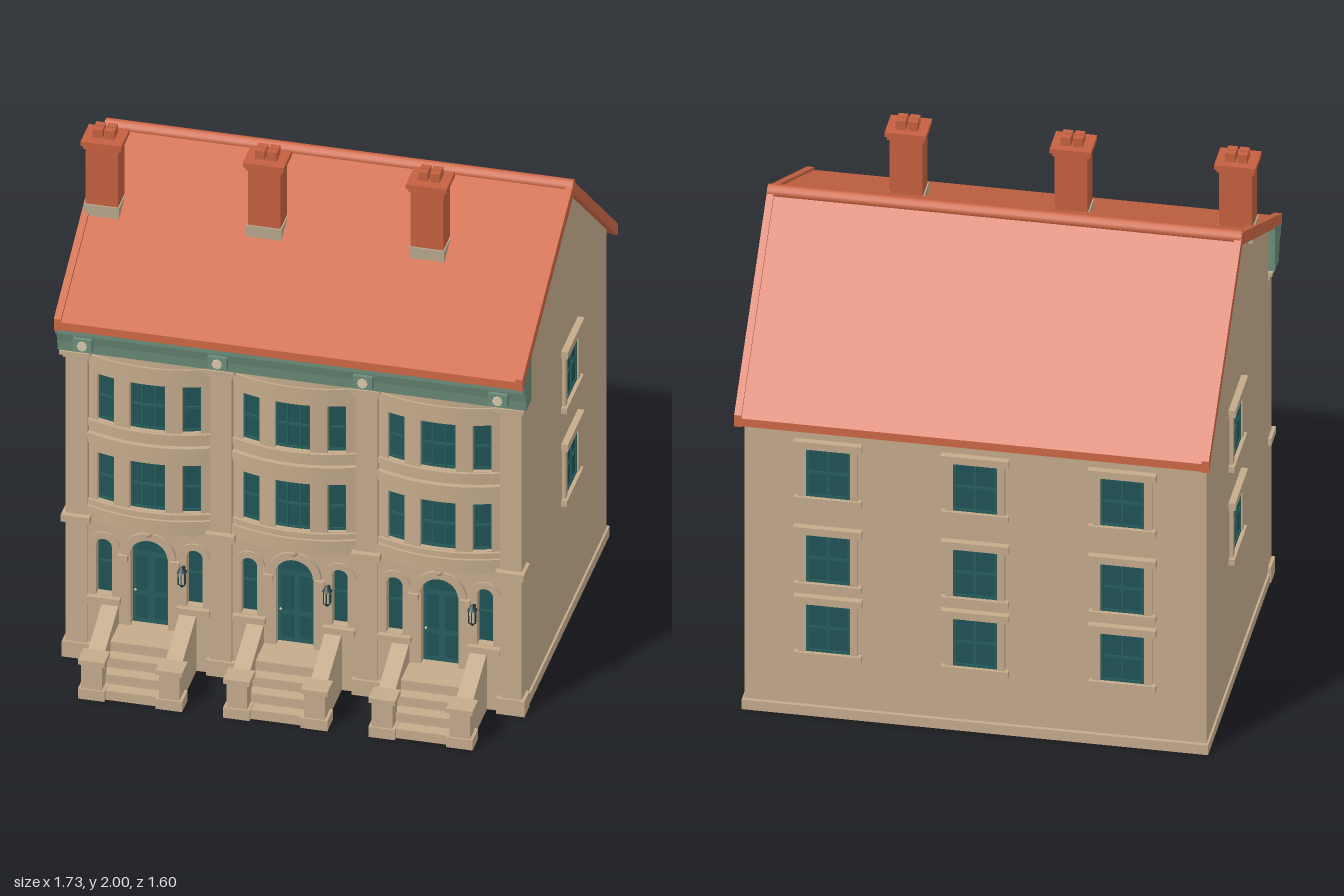
import * as THREE from 'three';

const mat = (name, color, side = THREE.FrontSide) => {
  const m = new THREE.MeshStandardMaterial({ color, side });
  m.name = name;
  return m;
};

export function createModel() {
  const stone = mat('sandstone', 0xc4ab8c);
  const roofRed = mat('roof terracotta', 0xcd6745);
  const brick = mat('chimney brick', 0xc4603f);
  const green = mat('cornice green', 0x6b8c79);
  const frame = mat('window frame teal', 0x265d5c);
  const glass = mat('glass teal', 0x1f5356);
  const grey = mat('chimney base stone', 0xb5a78c);
  const iron = mat('lamp iron', 0x26383a);
  const cream = mat('pale cream', 0xd8c8a8);

  const root = new THREE.Group();
  root.name = 'terraceHouse';

  const add = (parent, name, geo, material, x = 0, y = 0, z = 0) => {
    const m = new THREE.Mesh(geo, material);
    m.name = name;
    m.position.set(x, y, z);
    parent.add(m);
    return m;
  };
  // Box given by its min and max on each axis
  const box = (parent, name, material, x0, x1, y0, y1, z0, z1) =>
    add(parent, name, new THREE.BoxGeometry(x1 - x0, y1 - y0, z1 - z0), material,
      (x0 + x1) / 2, (y0 + y1) / 2, (z0 + z1) / 2);
  // Prism along x from a [z, y] profile
  const prism = (parent, name, material, pts, x0, x1) => {
    const s = new THREE.Shape(pts.map(([z, y]) => new THREE.Vector2(-z, y)));
    const g = new THREE.ExtrudeGeometry(s, { depth: x1 - x0, bevelEnabled: false });
    return add(parent, name, g.rotateY(Math.PI / 2), material, x0);
  };
  const extrude = (shape, depth) =>
    new THREE.ExtrudeGeometry(shape, { depth, bevelEnabled: false, curveSegments: 10 });

  // Main gabled body and plinth
  prism(root, 'houseBody', stone,
    [[0.47, 0], [0.47, 1.492], [-0.15, 1.805], [-0.72, 1.302], [-0.72, 0]], -0.84, 0.84);
  box(root, 'plinth', stone, -0.848, 0.848, 0, 0.04, -0.735, 0.5);

  // Roof slopes, raised verges and ridge roll
  const slopes = [[0.61, 1.45], [-0.8, 1.26]];
  for (const [z, y] of slopes) {
    prism(root, 'roofSlope', roofRed, [[-0.15, 1.83], [z, y], [z, y - 0.032], [-0.15, 1.798]], -0.845, 0.845);
    for (const s of [-1, 1])
      prism(root, 'roofVerge', roofRed,
        [[-0.15, 1.842], [z, y + 0.012], [z, y - 0.036], [-0.15, 1.79]], s * 0.85 - 0.013, s * 0.85 + 0.013);
  }
  add(root, 'ridgeRoll', new THREE.CylinderGeometry(0.024, 0.024, 1.724, 12).rotateZ(Math.PI / 2), roofRed, 0, 1.823, -0.15);

  // Eaves cornice with rosette blocks
  prism(root, 'cornice', green, [[0.475, 1.3], [0.555, 1.3], [0.56, 1.34], [0.572, 1.382], [0.59, 1.39],
    [0.59, 1.43], [0.475, 1.487]], -0.863, 0.863);
  for (const x of [-0.765, -0.268, 0.268, 0.765]) {
    box(root, 'corniceBlock', green, x - 0.035, x + 0.035, 1.32, 1.372, 0.55, 0.585);
    add(root, 'rosette', new THREE.CylinderGeometry(0.019, 0.019, 0.008, 8).rotateX(Math.PI / 2), cream, x, 1.346, 0.587);
  }

  // Pilasters with base, mid band and stepped capital
  for (const x of [-0.8, -0.268, 0.268, 0.8]) {
    const strip = (name, w, y0, y1, z) => box(root, name, stone, x - w, x + w, y0, y1, 0.46, z);
    strip('pilaster', 0.04, 0, 1.3, 0.528);
    strip('pilasterBase', 0.052, 0, 0.065, 0.537);
    strip('pilasterBand', 0.053, 0.575, 0.603, 0.55);
    strip('capitalLower', 0.047, 1.268, 1.284, 0.548);
    strip('capitalUpper', 0.056, 1.284, 1.3, 0.562);
  }

  // Curved bow front: slab between x0 and x1 following the bow
  const HW = 0.228;
  const bowZ = x => 0.547 - 0.045 * (x / HW) ** 2;
  const bow = (parent, name, material, x0, x1, y0, y1, off = 0, back = 0.465) => {
    const s = new THREE.Shape();
    s.moveTo(x0, -back);
    const n = Math.max(3, Math.ceil((x1 - x0) / 0.03));
    for (let i = 0; i <= n; i++) {
      const x = x0 + (x1 - x0) * i / n;
      s.lineTo(x, -(bowZ(x) + off));
    }
    s.lineTo(x1, -back);
    add(parent, name, extrude(s, y1 - y0).rotateX(-Math.PI / 2), material, 0, y0);
  };
  const bowWindow = (p, x0, x1, y0, y1) => {
    bow(p, 'bowGlass', glass, x0, x1, y0, y1, -0.025);
    const bar = (a, b, c, d) => bow(p, 'bowWindowBar', frame, a, b, c, d, -0.018);
    const ym = (y0 + y1) / 2;
    bar(x0, x0 + 0.008, y0, y1);
    bar(x1 - 0.008, x1, y0, y1);
    for (const y of [y0, ym - 0.004, y1 - 0.008]) bar(x0, x1, y, y + 0.008);
    if (x1 - x0 > 0.1) for (const x of [-0.024, 0.024]) bar(x - 0.004, x + 0.004, y0, y1);
  };

  // Round-headed outline, used for doors and side lights
  const arched = (Type, x, r, y0, yc) => {
    const s = new Type();
    s.moveTo(x - r, y0);
    s.lineTo(x + r, y0);
    s.lineTo(x + r, yc);
    s.absarc(x, yc, r, 0, Math.PI, false);
    s.lineTo(x - r, y0);
    return s;
  };
  const archRing = (x, yc, r0, r1) => {
    const s = new THREE.Shape();
    s.absarc(x, yc, r1, 0, Math.PI, false);
    s.absarc(x, yc, r0, Math.PI, 0, true);
    return s;
  };

  const buildBay = cx => {
    const bay = new THREE.Group();
    bay.name = 'bay';
    bay.position.x = cx;
    root.add(bay);

    // Upper bow walls, windows and mouldings
    bow(bay, 'bowApron', stone, -HW, HW, 0.6, 0.665);
    bow(bay, 'bowSpandrel', stone, -HW, HW, 0.865, 1.0);
    bow(bay, 'bowHead', stone, -HW, HW, 1.195, 1.3);
    for (const [y0, y1] of [[0.665, 0.865], [1.0, 1.195]]) {
      for (const s of [-1, 1]) {
        for (const [a, b] of [[0.19, HW], [0.065, 0.125]])
          bow(bay, 'bowPier', stone, Math.min(s * a, s * b), Math.max(s * a, s * b), y0, y1);
        bowWindow(bay, Math.min(s * 0.125, s * 0.19), Math.max(s * 0.125, s * 0.19), y0, y1);
      }
      bowWindow(bay, -0.065, 0.065, y0, y1);
    }
    for (const [y0, y1, off] of [[0.578, 0.603, 0.012], [0.603, 0.64, 0.019], [0.642, 0.664, 0.012],
      [0.903, 0.923, 0.012], [0.923, 0.947, 0.02], [0.974, 0.999, 0.012], [1.232, 1.27, 0.008]])
      bow(bay, 'bowMoulding', stone, -HW, HW, y0, y1, off);

    // Ground floor wall with arched openings
    const wall = new THREE.Shape([[-HW, 0], [HW, 0], [HW, 0.59], [-HW, 0.59]].map(p => new THREE.Vector2(...p)));
    wall.holes.push(arched(THREE.Path, 0, 0.069, 0.155, 0.456));
    for (const s of [-1, 1]) wall.holes.push(arched(THREE.Path, s * 0.167, 0.029, 0.268, 0.476));
    add(bay, 'groundWall', extrude(wall, 0.05), stone, 0, 0, 0.465);
    add(bay, 'doorArch', extrude(archRing(0, 0.456, 0.07, 0.1), 0.014), stone, 0, 0, 0.513);
    add(bay, 'keystone', new THREE.SphereGeometry(0.015, 10, 8), stone, 0, 0.557, 0.525);

    // Door leaf, panels, fanlight and knob
    add(bay, 'door', extrude(arched(THREE.Shape, 0, 0.069, 0.155, 0.456), 0.008), frame, 0, 0, 0.474);
    const fan = new THREE.Shape();
    fan.absarc(0, 0.456, 0.055, 0, Math.PI, false);
    add(bay, 'fanlight', extrude(fan, 0.004), glass, 0, 0, 0.48);
    for (const s of [-1, 1]) {
      for (const [y0, y1] of [[0.175, 0.27], [0.29, 0.435]])
        box(bay, 'doorPanel', glass, s * 0.033 - 0.022, s * 0.033 + 0.022, y0, y1, 0.48, 0.485);
      // Side light with arch, sill and impost
      add(bay, 'sideLight', extrude(arched(THREE.Shape, s * 0.167, 0.029, 0.268, 0.476), 0.006), glass, 0, 0, 0.475);
      box(bay, 'sideLightBar', frame, s * 0.167 - 0.029, s * 0.167 + 0.029, 0.39, 0.398, 0.478, 0.486);
      add(bay, 'sideArch', extrude(archRing(s * 0.167, 0.476, 0.031, 0.058), 0.009), stone, 0, 0, 0.513);
      box(bay, 'impost', stone, s * 0.095 - 0.018, s * 0.095 + 0.018, 0.425, 0.452, 0.5, 0.532);
      box(bay, 'sideSill', stone, s * 0.165 - 0.06, s * 0.165 + 0.06, 0.24, 0.266, 0.49, 0.535);

      // Stair cheek wall and newel
      const x = s * 0.143;
      prism(bay, 'stairCheek', stone, [[0.5, 0], [0.5, 0.241], [0.74, 0.153], [0.74, 0]], x - 0.031, x + 0.031);
      box(bay, 'newel', stone, x - 0.038, x + 0.038, 0.02, 0.15, 0.725, 0.793);
      box(bay, 'newelBase', stone, x - 0.049, x + 0.049, 0, 0.042, 0.716, 0.8);
      box(bay, 'newelCap', stone, x - 0.049, x + 0.049, 0.143, 0.162, 0.716, 0.8);
    }
    add(bay, 'doorKnob', new THREE.SphereGeometry(0.005, 8, 6), cream, -0.058, 0.29, 0.486);

    // Steps
    for (let i = 0; i < 4; i++)
      box(bay, 'step', stone, -0.115, 0.115, 0, 0.155 - i * 0.0388, 0.465, 0.64 + i * 0.048);

    // Wall lantern
    const lx = 0.128, lz = 0.546;
    box(bay, 'lampBracket', iron, lx - 0.005, lx + 0.005, 0.425, 0.435, 0.51, lz);
    add(bay, 'lampPane', new THREE.CylinderGeometry(0.015, 0.011, 0.05, 6), cream, lx, 0.402, lz);
    add(bay, 'lampRoof', new THREE.CylinderGeometry(0.004, 0.02, 0.022, 6), iron, lx, 0.438, lz);
    add(bay, 'lampFoot', new THREE.CylinderGeometry(0.014, 0.004, 0.014, 6), iron, lx, 0.371, lz);
    for (let i = 0; i < 6; i++) {
      const a = i * Math.PI / 3;
      add(bay, 'lampRib', new THREE.BoxGeometry(0.004, 0.052, 0.004), iron,
        lx + 0.0135 * Math.sin(a), 0.402, lz + 0.0135 * Math.cos(a));
    }
  };
  [-0.535, 0, 0.535].forEach(buildBay);

  // Plain sash windows on the gables and the rear, facing +z before turning
  const sash = (x, y0, z, turn, h) => {
    const g = new THREE.Group();
    g.name = 'sashWindow';
    g.position.set(x, y0, z);
    g.rotation.y = turn;
    root.add(g);
    const w = 0.08;
    box(g, 'glass', glass, -w, w, 0, h, -0.003, 0.003);
    for (const bx of [-w + 0.005, 0, w - 0.005]) box(g, 'frameUpright', frame, bx - 0.005, bx + 0.005, 0, h, 0, 0.008);
    for (const by of [0.005, h / 2, h - 0.005]) box(g, 'frameRail', frame, -w, w, by - 0.005, by + 0.005, 0, 0.0075);
    for (const s of [-1, 1]) box(g, 'jamb', stone, s * 0.094 - 0.014, s * 0.094 + 0.014, 0, h, -0.005, 0.013);
    box(g, 'lintel', stone, -0.124, 0.124, h, h + 0.03, -0.005, 0.025);
    box(g, 'sill', stone, -0.122, 0.122, -0.024, 0, -0.005, 0.022);
  };
  for (const y of [0.944, 0.555])
    for (const s of [-1, 1]) sash(s * 0.84, y, -0.175, s * Math.PI / 2, 0.208);
  for (const x of [-0.535, 0, 0.535])
    for (const y of [0.917, 0.558, 0.267]) sash(x, y, -0.72, Math.PI, 0.205);

  // Chimneys with stone base, caps and four pots
  for (const x of [-0.79, -0.192, 0.408]) {
    const slab = (name, m, w, d, y0, y1) => box(root, name, m, x - w, x + w, y0, y1, 0.147 - d, 0.147 + d);
    slab('chimneyBase', grey, 0.065, 0.055, 1.645, 1.7);
    slab('chimneyStack', brick, 0.06, 0.049, 1.64, 1.945);
    slab('chimneyCollar', brick, 0.067, 0.056, 1.932, 1.946);
    slab('chimneyCap', brick, 0.075, 0.062, 1.946, 1.965);
    for (const sx of [-1, 1]) for (const sz of [-1, 1])
      add(root, 'chimneyPot', new THREE.BoxGeometry(0.036, 0.04, 0.025), brick,
        x + sx * 0.022, 1.98, 0.143 + sz * 0.0155);
  }
  return root;
}
